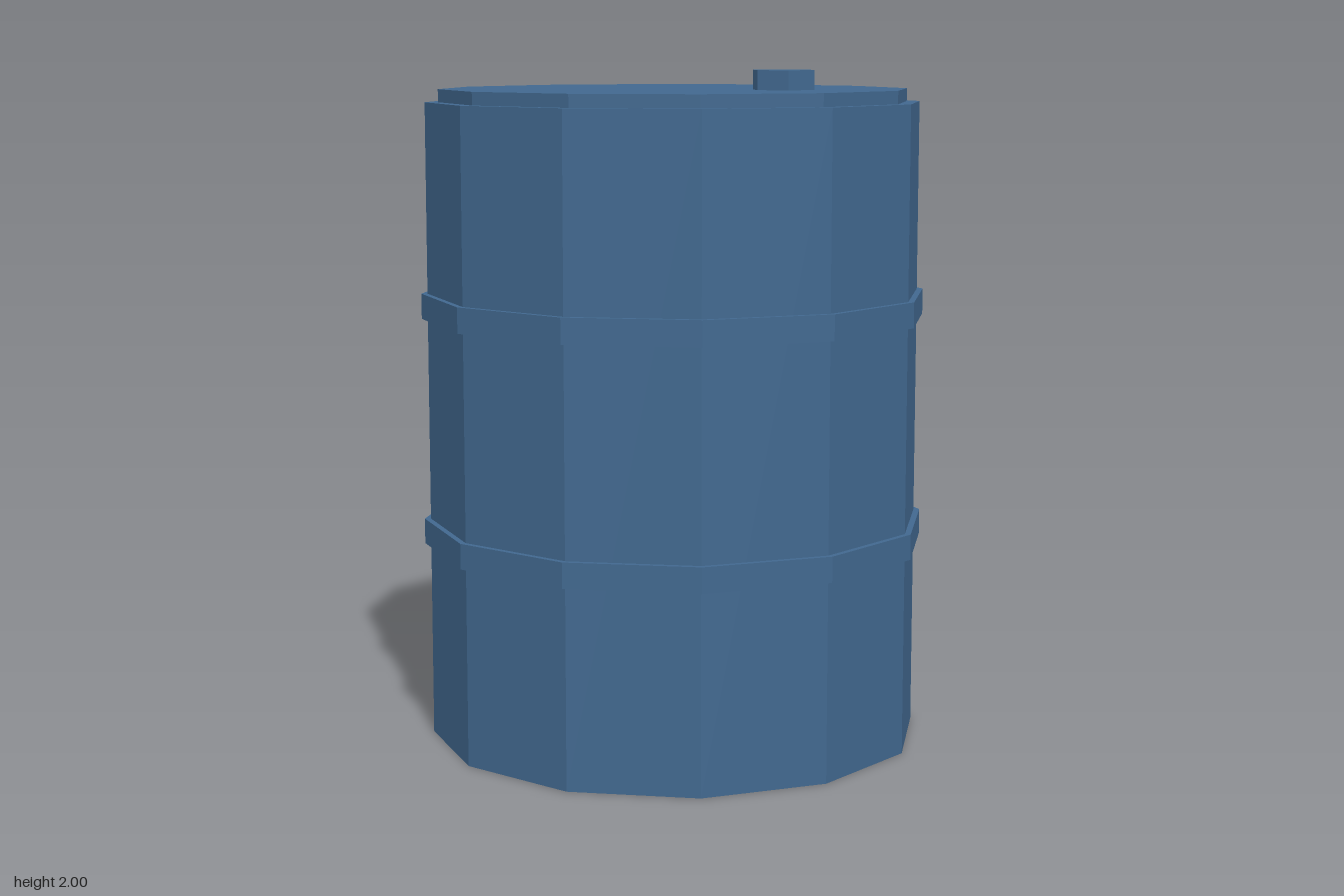
import * as THREE from 'three';

const SIDES = 12;

export function createModel() {
  const drum = new THREE.Group();
  drum.name = 'drum';

  const bluePaint = new THREE.MeshStandardMaterial({ color: 0x41688f, flatShading: true });
  bluePaint.name = 'blue paint';

  // Upright prism spanning bottom to top
  function addPrism(name, radius, bottom, top, sides = SIDES) {
    const geometry = new THREE.CylinderGeometry(radius, radius, top - bottom, sides);
    const mesh = new THREE.Mesh(geometry, bluePaint);
    mesh.name = name;
    mesh.position.y = (bottom + top) / 2;
    drum.add(mesh);
    return mesh;
  }

  // Barrel and raised lid
  addPrism('barrel', 0.737, 0, 1.905);
  addPrism('lid', 0.698, 1.905, 1.943);

  // Two reinforcing hoops
  addPrism('lowerHoop', 0.755, 0.586, 0.661);
  addPrism('upperHoop', 0.755, 1.266, 1.341);

  // Hexagonal filler cap, corners pointing along x
  const cap = addPrism('fillerCap', 0.096, 1.943, 2, 6);
  cap.position.x = 0.347;
  cap.rotation.y = Math.PI / 6;

  return drum;
}
